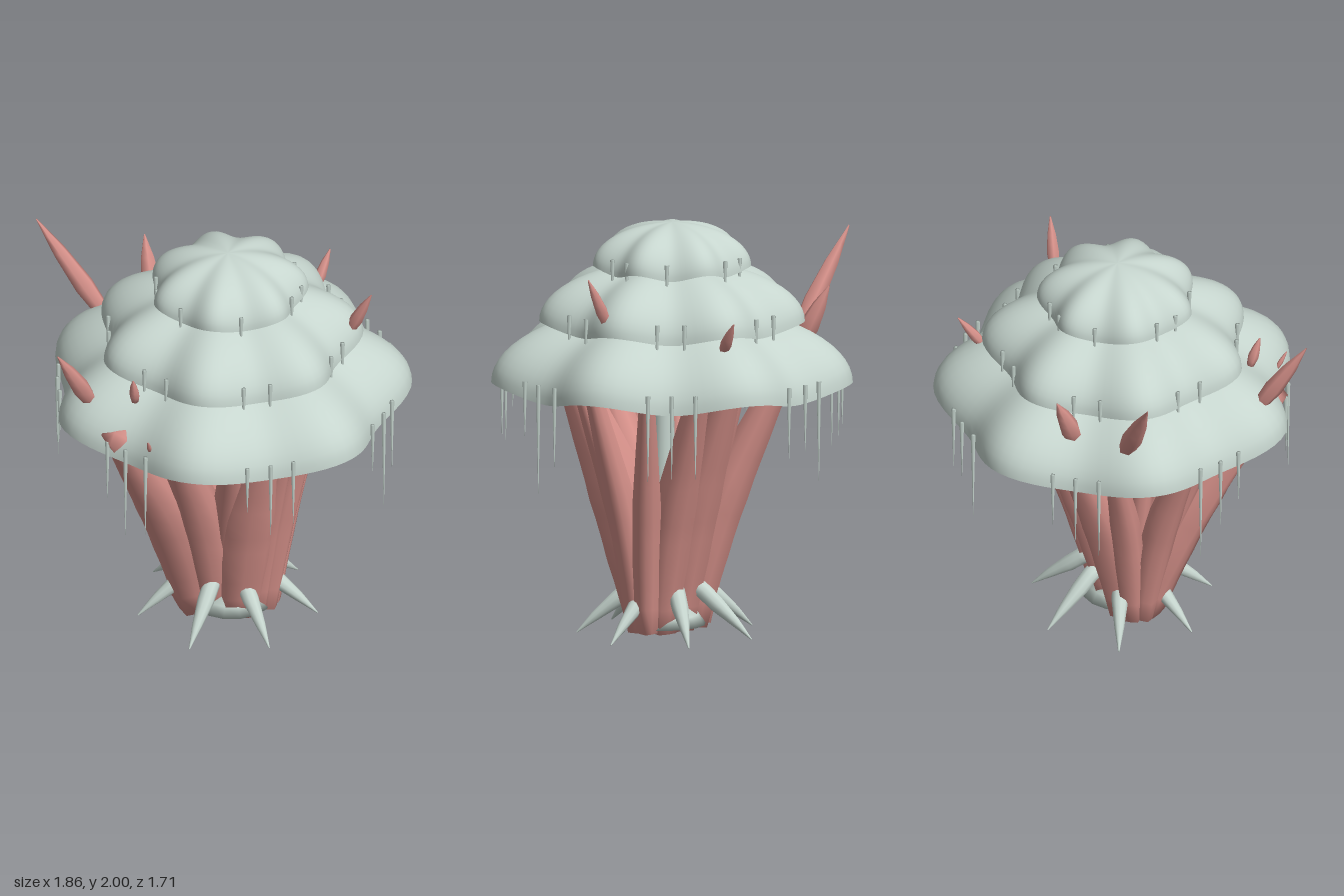
import * as THREE from 'three';
import { mergeVertices } from 'three/addons/utils/BufferGeometryUtils.js';

const shell = new THREE.MeshStandardMaterial({ color: 0xc6d5ce, side: THREE.DoubleSide });
shell.name = 'pale shell';
const flesh = new THREE.MeshStandardMaterial({ color: 0xd6918a });
flesh.name = 'pink flesh';

const LOBES = 7, CX = 0.065, CZ = -0.02;

// Seeded random numbers
let seed = 11;
const rand = () => (seed = (seed * 16807) % 2147483647) / 2147483647;

// Closed tapered limb: stations are [x, y, z, radius]
function limb(stations, sides = 8, steps = 10, ridge = 0) {
  const curve = new THREE.CatmullRomCurve3(stations.map(s => new THREE.Vector3(s[0], s[1], s[2])));
  const pos = [], idx = [], n = stations.length - 1;
  const ref = new THREE.Vector3(0.31, 0.05, 1).normalize();
  for (let i = 0; i <= steps; i++) {
    const t = i / steps, k = Math.min(Math.floor(t * n), n - 1);
    const r = THREE.MathUtils.lerp(stations[k][3], stations[k + 1][3], t * n - k);
    const p = curve.getPoint(t), T = curve.getTangent(t);
    const N = ref.clone().addScaledVector(T, -ref.dot(T)).normalize();
    const B = T.clone().cross(N);
    for (let j = 0; j < sides; j++) {
      const a = j / sides * Math.PI * 2;
      const q = r * (1 + (j % 2 ? ridge : -ridge));
      const v = p.clone().addScaledVector(N, q * Math.cos(a)).addScaledVector(B, q * Math.sin(a));
      pos.push(v.x, v.y, v.z);
      if (i < steps) {
        const a0 = i * sides + j, a1 = i * sides + (j + 1) % sides;
        idx.push(a0, a1, a0 + sides, a1, a1 + sides, a0 + sides);
      }
    }
  }
  const c = pos.length / 3, last = steps * sides, e = curve.getPoint(1);
  pos.push(stations[0][0], stations[0][1], stations[0][2], e.x, e.y, e.z);
  for (let j = 0; j < sides; j++) {
    const m = (j + 1) % sides;
    idx.push(c, m, j, c + 1, last + j, last + m);
  }
  const g = new THREE.BufferGeometry();
  g.setAttribute('position', new THREE.Float32BufferAttribute(pos, 3));
  g.setIndex(idx);
  g.computeVertexNormals();
  return g;
}

// Open scalloped dome
function dome(radius, wave, y, dip, height) {
  const pts = [];
  for (let i = 0; i <= 16; i++) {
    const a = i / 16 * Math.PI / 2;
    pts.push(new THREE.Vector2(Math.max(Math.cos(a), 1e-4), Math.sin(a)));
  }
  let g = new THREE.LatheGeometry(pts, 98);
  const p = g.attributes.position;
  for (let i = 0; i < p.count; i++) {
    const x = p.getX(i), z = p.getZ(i), r = Math.hypot(x, z);
    const c = Math.cos(LOBES * Math.atan2(x, z));
    const s = radius + wave * c;
    p.setXYZ(i, CX + x * s, y + p.getY(i) * height + dip * c * r * r, CZ + z * s);
  }
  g.deleteAttribute('uv');
  g.deleteAttribute('normal');
  g = mergeVertices(g, 1e-5);
  g.computeVertexNormals();
  return g;
}

// Trunk limb rising from a base point to a top point, flaring outward late
const RISE = [0.04, 0.4, 0.7, 0.98, 1.33];
const FLARE = [0, 0.17, 0.38, 0.65, 1];
const GIRTH = [0.85, 1.1, 1.1, 0.85, 0.5];
const trunkLimb = (x0, z0, x1, z1, r) => limb(RISE.map((y, i) => [
  THREE.MathUtils.lerp(x0, x1, FLARE[i]), y, THREE.MathUtils.lerp(z0, z1, FLARE[i]), r * GIRTH[i]
]), 10, 12, 0.08);

export function createModel() {
  const model = new THREE.Group();
  const add = (geo, mat, name, parent = model) => {
    const m = new THREE.Mesh(geo, mat);
    m.name = name;
    parent.add(m);
  };
  const group = name => {
    const g = new THREE.Group();
    g.name = name;
    model.add(g);
    return g;
  };

  // Three stacked caps
  add(dome(0.83, 0.05, 1.225, 0.025, 0.39), shell, 'lowerCap');
  add(dome(0.605, 0.042, 1.52, 0.02, 0.3), shell, 'middleCap');
  add(dome(0.362, 0.023, 1.785, 0.015, 0.215), shell, 'upperCap');

  // Hanging spikes, clustered at the valleys of each rim
  const spikes = group('hangingSpikes');
  const spike = (deg, r, top, len) => {
    const a = THREE.MathUtils.degToRad(deg);
    const x = CX + r * Math.sin(a), z = CZ + r * Math.cos(a);
    add(limb([[x, top, z, 0.012], [x, top - len, z, 0.001]], 5, 1), shell, 'hangingSpike', spikes);
  };
  for (let i = 0; i < LOBES; i++) {
    const valley = (i + 0.5) * 360 / LOBES;
    for (const d of [-8, 0, 8]) spike(valley + d, 0.815, 1.3, 0.25 + 0.32 * rand());
    for (const d of [-7, 6]) spike(valley + d, 0.575, 1.6, 0.25);
    spike(valley - 4, 0.345, 1.85, 0.2);
    if (i % 2) spike(valley + 14, 0.355, 1.85, 0.2);
  }

  // Pale core with a flared foot
  const core = new THREE.LatheGeometry(
    [[0.001, 0.05], [0.2, 0.05], [0.17, 0.1], [0.1, 0.25], [0.06, 0.5], [0.05, 1], [0.045, 1.6]]
      .map(p => new THREE.Vector2(...p)), 16);
  core.translate(0.09, 0, 0.01);
  add(core, shell, 'core');

  // Trunk limbs: base x, base z, top x, top z, girth
  const trunk = group('trunk');
  for (const l of [
    // front
    [-0.07, 0.05, -0.36, 0.62, 0.125], [0.13, 0.05, 0.33, 0.42, 0.13], [0.02, 0.06, -0.1, 0.6, 0.1],
    [0.08, 0.06, 0.2, 0.52, 0.07],
    // flanks
    [-0.14, 0.02, -0.54, 0.14, 0.07], [-0.13, -0.03, -0.46, -0.3, 0.065], [-0.1, 0.05, -0.42, 0.34, 0.065],
    [0.26, 0.02, 0.54, 0.12, 0.065], [0.27, -0.03, 0.53, -0.24, 0.06], [0.22, 0.04, 0.45, 0.28, 0.06],
    // back
    [0.06, -0.04, 0.14, -0.46, 0.1], [-0.05, -0.04, -0.26, -0.47, 0.095], [0.18, -0.04, 0.37, -0.45, 0.09],
    // slender inner shoots
    [-0.06, 0.01, -0.2, 0.05, 0.045], [0.2, 0, 0.3, -0.05, 0.045], [-0.02, -0.05, -0.08, -0.36, 0.05]
  ]) add(trunkLimb(...l), flesh, 'trunkLimb', trunk);

  // Root claws around the foot
  const claws = group('rootClaws');
  for (let i = 0; i < LOBES; i++) {
    const a = THREE.MathUtils.degToRad(-13 + i * 360 / LOBES);
    const at = (r, y, w) => [CX + r * Math.sin(a), y, r * Math.cos(a), w];
    const path = [at(0.1, 0.25, 0.012), at(0.16, 0.235, 0.042), at(0.25, 0.165, 0.04),
      at(0.35, 0.085, 0.024), at(0.44, 0.005, 0.003)];
    add(limb(path, 10, 12), shell, 'rootClaw', claws);
  }

  // Thorns piercing the caps: base, tip, thickness
  const thorns = group('thorns');
  const thorn = (base, tip, w) => {
    const b = new THREE.Vector3(...base), t = new THREE.Vector3(...tip);
    const at = (f, r) => [...b.clone().lerp(t, f).toArray(), r];
    add(limb([at(0, w * 0.7), at(0.33, w), at(0.67, w * 0.7), at(1, 0.003)], 6, 6), flesh, 'thorn', thorns);
  };
  thorn([-0.57, 1.38, -0.27], [-0.925, 1.875, -0.31], 0.05);
  thorn([-0.5, 1.38, 0.46], [-0.63, 1.755, 0.655], 0.045);
  thorn([0.64, 1.58, -0.09], [0.755, 1.82, -0.06], 0.032);
  thorn([0.38, 1.47, -0.58], [0.43, 1.63, -0.69], 0.028);
  thorn([-0.38, 1.38, -0.44], [-0.45, 1.68, -0.57], 0.05);
  thorn([-0.28, 1.46, 0.52], [-0.28, 1.605, 0.57], 0.026);
  thorn([-0.17, 1.31, 0.71], [-0.17, 1.39, 0.76], 0.012);
  return model;
}
